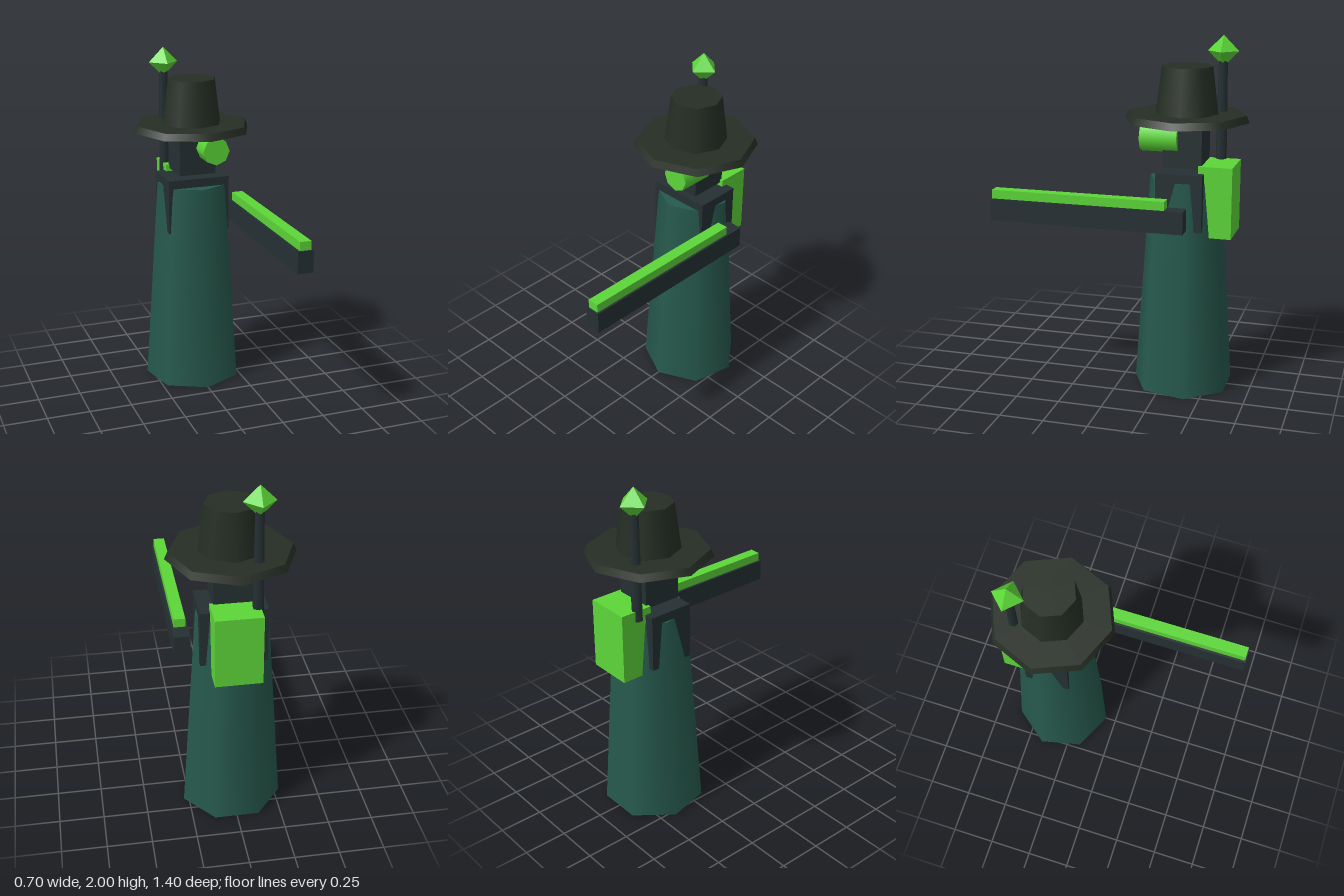
import * as THREE from 'three';

export function createModel() {
  const group = new THREE.Group();
  group.name = 'hoodedMarksman';

  const material = (name, color) => {
    const m = new THREE.MeshStandardMaterial({ color });
    m.name = name;
    return m;
  };
  const teal = material('tealCloth', 0x26594c);
  const slate = material('darkSlate', 0x253033);
  const felt = material('darkFelt', 0x252e24);
  const green = material('brightGreen', 0x5cd638);

  const add = (name, geometry, mat, x, y, z) => {
    const mesh = new THREE.Mesh(geometry, mat);
    mesh.name = name;
    mesh.position.set(x, y, z);
    group.add(mesh);
    return mesh;
  };
  // Box from its minimum and maximum corners
  const box = (name, mat, [x0, y0, z0], [x1, y1, z1]) =>
    add(name, new THREE.BoxGeometry(x1 - x0, y1 - y0, z1 - z0), mat,
      (x0 + x1) / 2, (y0 + y1) / 2, (z0 + z1) / 2);
  // Upright tapered prism from y0 to y1
  const taper = (name, mat, rTop, rBottom, y0, y1, sides, x, z) =>
    add(name, new THREE.CylinderGeometry(rTop, rBottom, y1 - y0, sides), mat,
      x, (y0 + y1) / 2, z);

  const cz = -0.35; // axis of the figure

  // Seven-sided robe and the shoulder block sunk into it
  taper('robe', teal, 0.205, 0.287, 0, 1.22, 7, 0, cz);
  box('shoulders', slate, [-0.185, 0.95, -0.48], [0.185, 1.27, -0.22]);

  // Head with one big lens
  box('head', slate, [-0.11, 1.29, -0.46], [0.11, 1.545, -0.24]);
  const lens = add('eyeLens', new THREE.CylinderGeometry(0.08, 0.08, 0.21, 8), green,
    0.07, 1.45, -0.22);
  lens.rotation.x = Math.PI / 2;

  // Hat
  taper('hatBrim', felt, 0.333, 0.35, 1.54, 1.58, 8, 0, cz);
  taper('hatCrown', felt, 0.143, 0.177, 1.575, 1.84, 8, 0, cz);

  // Backpack, antenna and crystal
  box('backpack', green, [-0.13, 0.91, -0.635], [0.13, 1.31, -0.445]);
  taper('antenna', slate, 0.025, 0.032, 1.25, 1.88, 6, -0.115, -0.525);
  add('crystal', new THREE.OctahedronGeometry(0.087), green, -0.115, 1.913, -0.525);

  // Long rifle held at the side
  box('rifleBody', slate, [0.225, 0.97, -0.405], [0.315, 1.095, 0.7]);
  box('rifleRail', green, [0.238, 1.09, -0.3], [0.303, 1.145, 0.693]);

  return group;
}
